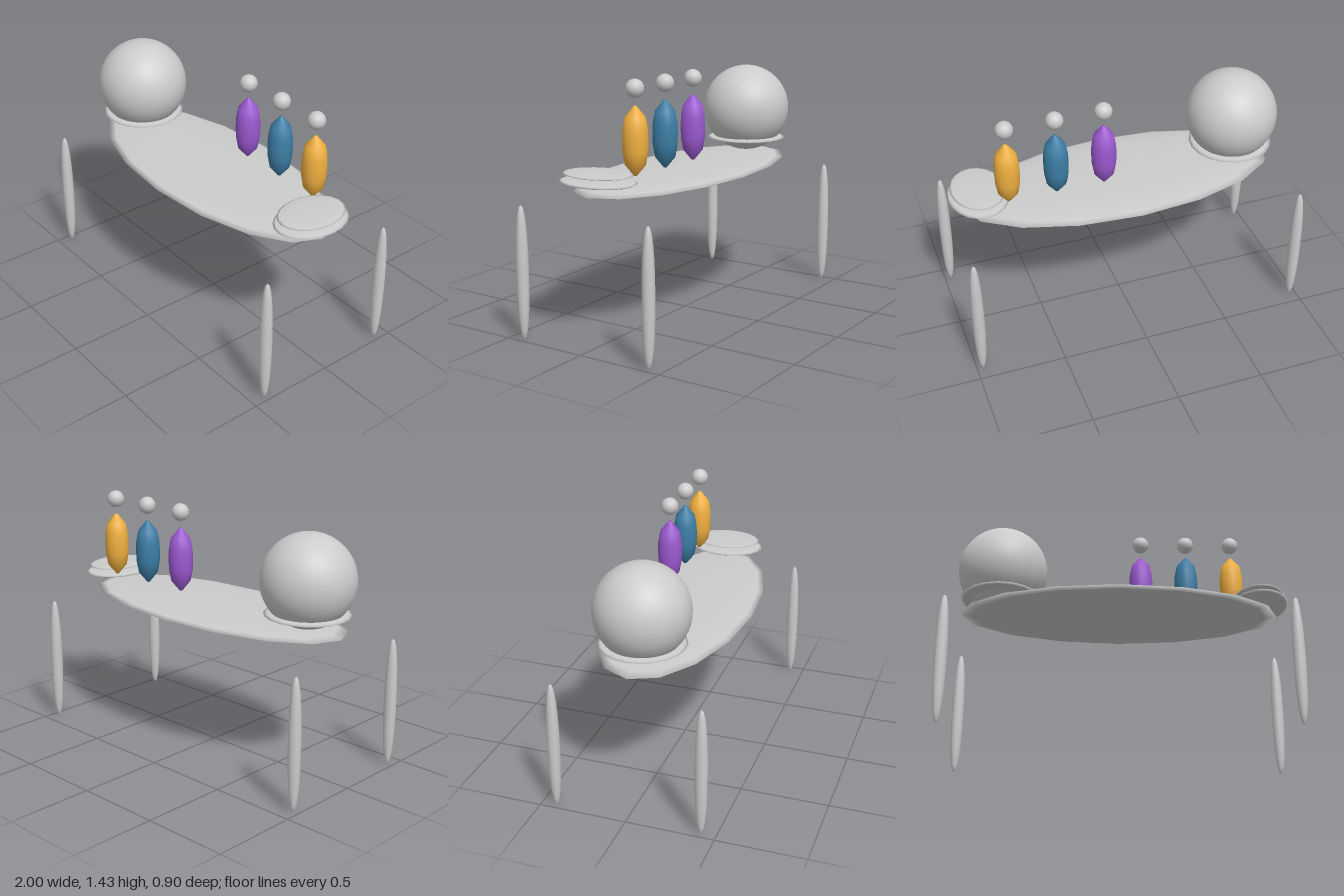
import * as THREE from 'three';

const grey = new THREE.MeshStandardMaterial({ color: 0xcccccc });

// Unit lathed spheroid; e below 1 makes the profile fuller than an ellipse
function spheroid(e, rings, sides) {
  const pts = [];
  for (let i = 0; i <= rings; i++) {
    const a = -Math.PI / 2 + (Math.PI * i) / rings;
    const r = i === 0 || i === rings ? 0 : Math.pow(Math.cos(a), e);
    pts.push(new THREE.Vector2(r, Math.sign(a) * Math.pow(Math.abs(Math.sin(a)), e)));
  }
  return new THREE.LatheGeometry(pts, sides);
}

export function createModel() {
  const group = new THREE.Group();
  const add = (name, geometry, pos, scale = [1, 1, 1], material = grey) => {
    const mesh = new THREE.Mesh(geometry, material);
    mesh.name = name;
    mesh.position.set(...pos);
    mesh.scale.set(...scale);
    group.add(mesh);
    return mesh;
  };

  // Oval tabletop
  add('tabletop', spheroid(0.92, 8, 16), [0, 0.833, 0], [0.925, 0.032, 0.4]);

  // Four free-standing tapered legs
  const legGeo = spheroid(0.88, 12, 12);
  for (const x of [-1, 1]) {
    for (const z of [-1, 1]) {
      add('leg', legGeo, [x * 0.965, 0.377, z * 0.415], [0.035, 0.375, 0.035]);
    }
  }

  // Large globe on its dish
  const dishGeo = spheroid(0.92, 8, 20);
  add('globe', new THREE.SphereGeometry(0.263, 32, 24), [-0.692, 1.116, 0]);
  add('globeDish', dishGeo, [-0.692, 0.93, 0], [0.24, 0.018, 0.24]);

  // Two stacked oval plates at the other end
  add('lowerPlate', dishGeo, [0.826, 0.902, 0], [0.17, 0.017, 0.225]);
  add('upperPlate', dishGeo, [0.826, 0.944, 0], [0.152, 0.011, 0.205]);

  // Row of coloured figures with floating heads
  const half = [[0.07, 0], [0.068, 0.06], [0.056, 0.125], [0.008, 0.184], [0, 0.185]];
  const profile = [
    ...half.slice(1).reverse().map(([r, y]) => new THREE.Vector2(r, -y)),
    ...half.map(([r, y]) => new THREE.Vector2(r, y)),
  ];
  const bodyGeo = new THREE.LatheGeometry(profile, 16);
  const headGeo = new THREE.SphereGeometry(0.05, 16, 12);
  [0x9b59d0, 0x3d7ea6, 0xf0b040].forEach((color, i) => {
    const x = 0.135 + i * 0.275;
    const paint = new THREE.MeshStandardMaterial({ color });
    add('figureBody', bodyGeo, [x, 1.11, -0.14], [1, 1, 1], paint);
    add('figureHead', headGeo, [x, 1.385, -0.14]);
  });

  return group;
}
